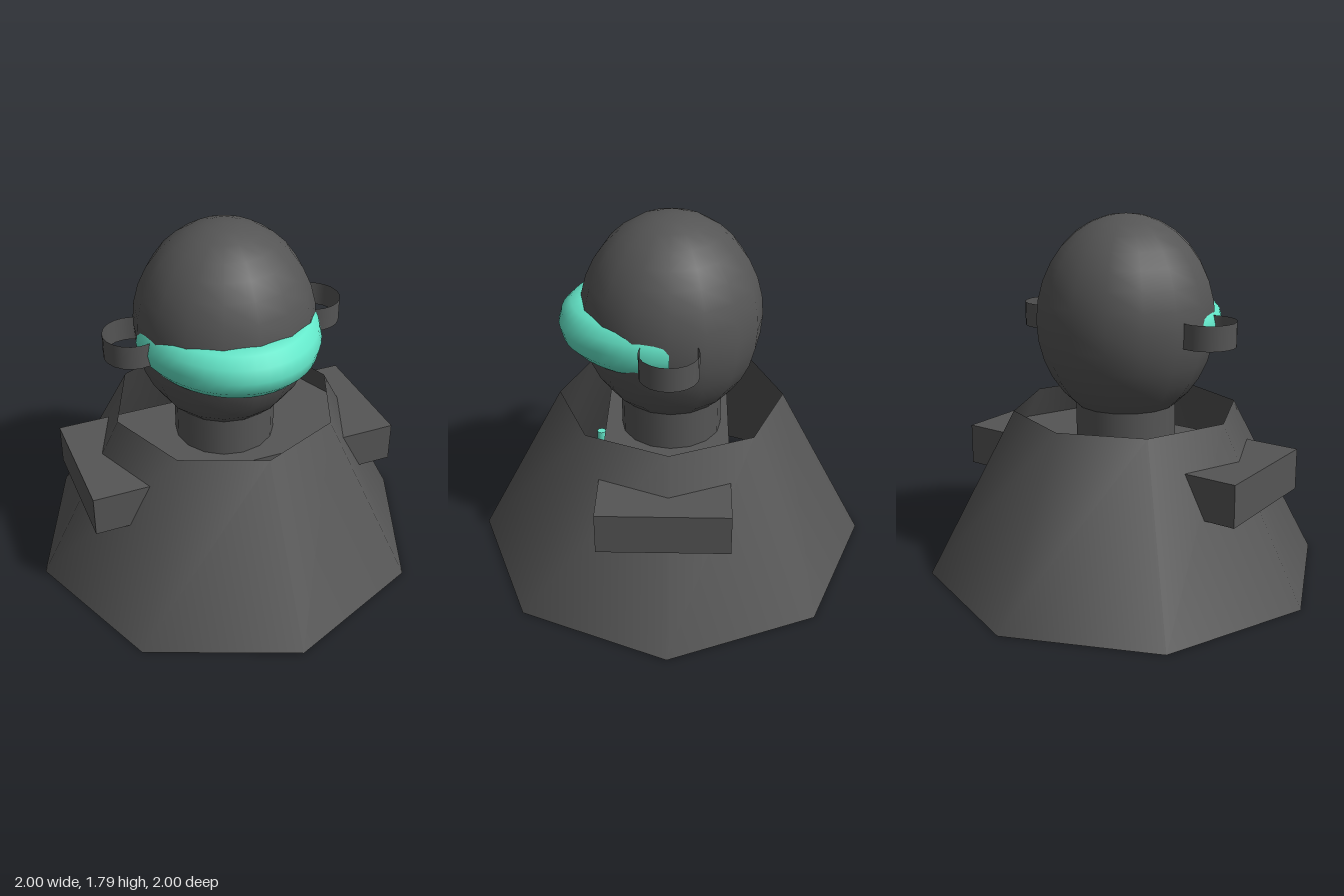
import * as THREE from 'three';

export function createModel() {
  const model = new THREE.Group();
  const grey = new THREE.MeshStandardMaterial({ color: 0x555555, side: THREE.DoubleSide });
  grey.name = 'dark grey';
  const teal = new THREE.MeshStandardMaterial({ color: 0x64e8ca, side: THREE.DoubleSide });
  teal.name = 'teal glow';

  const add = (name, geometry, material, x, y, z) => {
    const mesh = new THREE.Mesh(geometry, material);
    mesh.name = name;
    mesh.position.set(x, y, z);
    model.add(mesh);
    return mesh;
  };

  // Eight-sided cloak, open at top and bottom
  add('body', new THREE.CylinderGeometry(0.56, 1, 0.835, 8, 1, true), grey, 0, 0.4175, 0);

  // One bar through the body forms both shoulders
  add('shoulders', new THREE.BoxGeometry(1.58, 0.205, 0.62), grey, 0, 0.5625, 0.02);

  // Small light hidden inside the chest
  add('chestLight', new THREE.CylinderGeometry(0.022, 0.022, 0.32, 8), teal, 0, 0.44, 0.36);

  add('neck', new THREE.CylinderGeometry(0.25, 0.25, 0.45, 16), grey, 0, 0.725, 0);

  // Egg-shaped head
  add('head', new THREE.SphereGeometry(0.44, 16, 16), grey, 0, 1.28, 0).scale.y = 0.51 / 0.44;

  // Half-ring visor wrapped round the front, narrowed to hug the sides
  const visor = new THREE.TorusGeometry(0.417, 0.125, 12, 24, Math.PI);
  visor.rotateX(Math.PI / 2);
  visor.scale(0.824, 1, 1);
  add('visor', visor, teal, 0, 1.257, 0);

  // Thin open ear rings
  for (const [name, side] of [['leftEar', 1], ['rightEar', -1]]) {
    add(name, new THREE.CylinderGeometry(0.138, 0.138, 0.12, 20, 1, true), grey, side * 0.464, 1.26, 0);
  }
  return model;
}
